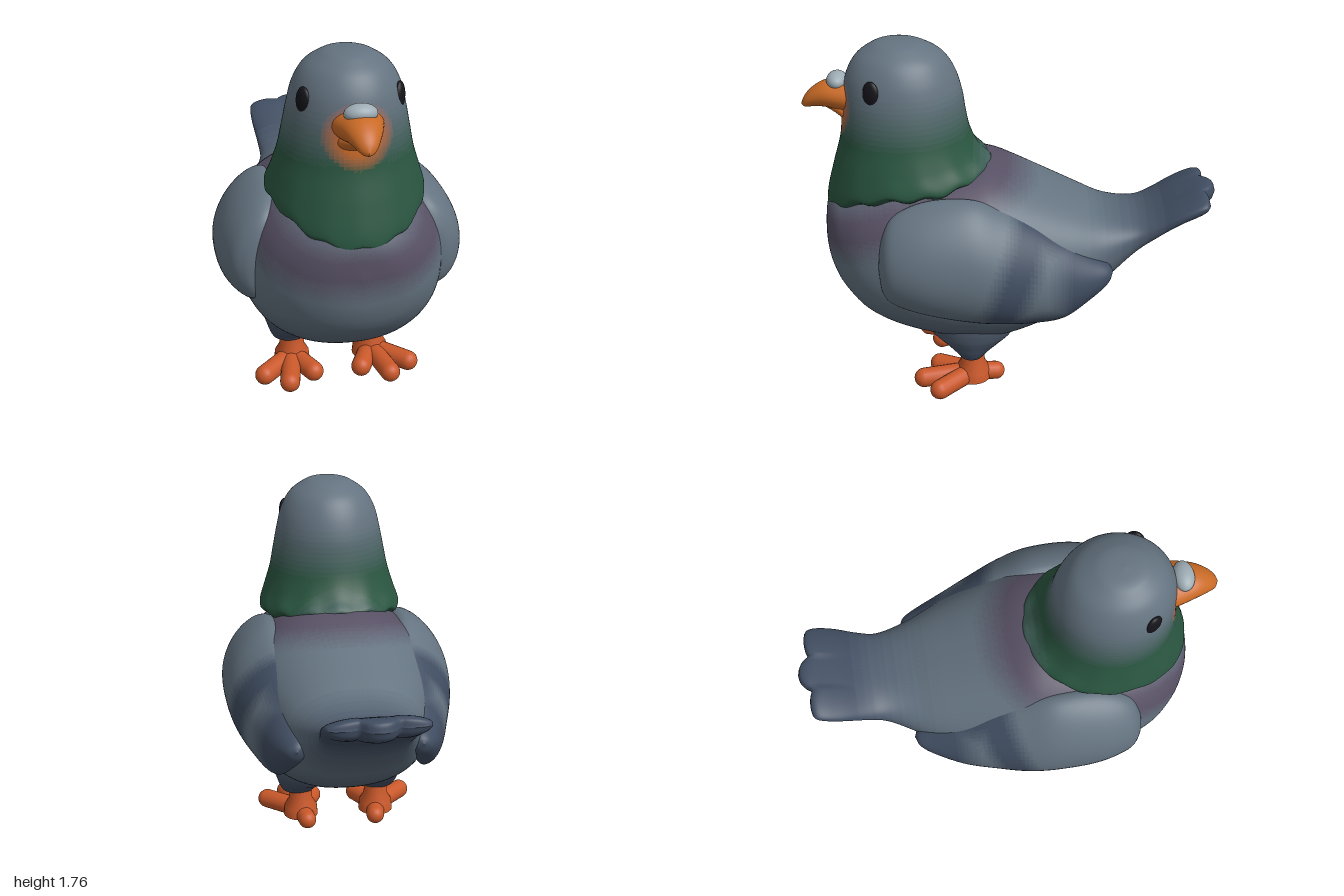
import * as THREE from 'three';

const SLATE = 0x647380, DARK = 0x404d61, GREEN = 0x2a5641, PURPLE = 0x575064;
const ORANGE = 0xc96a26, FOOT = 0xc9582a, CERE = 0x9dabb3, EYE = 0x15141a;
const clamp01 = (v) => Math.min(1, Math.max(0, v));
const material = (color) => new THREE.MeshStandardMaterial({ color });

// Blend of two colours in a few even steps
function mix(a, b, t) {
  const step = Math.round(clamp01(t) * 10) / 10;
  return new THREE.Color(a).lerp(new THREE.Color(b), step).getHex();
}

// Smooth skin through rows of section parameters; place(row, angle) gives a point
function loft(rows, steps, segs, place) {
  const size = rows[0].length, last = rows.length - 1;
  const spline = new THREE.CubicInterpolant(rows.map((r, i) => i), rows.flat(), size, new Float32Array(size));
  const pos = [], index = [];
  for (let i = 0; i <= steps; i++) {
    const row = Array.from(spline.evaluate((i / steps) * last));
    for (let j = 0; j < segs; j++) pos.push(...place(row, (j / segs) * Math.PI * 2));
  }
  for (let i = 0; i < steps; i++) {
    for (let j = 0; j < segs; j++) {
      const a = i * segs + j, b = i * segs + ((j + 1) % segs);
      index.push(a, b, a + segs, b, b + segs, a + segs);
    }
  }
  // Turn the faces outward if the enclosed volume comes out negative
  const p = (k) => new THREE.Vector3(pos[k * 3], pos[k * 3 + 1], pos[k * 3 + 2]);
  const origin = p(Math.floor(steps / 2) * segs);
  let volume = 0;
  for (let k = 0; k < index.length; k += 3) {
    const [a, b, c] = [0, 1, 2].map((n) => p(index[k + n]).sub(origin));
    volume += a.dot(b.cross(c));
  }
  if (volume < 0) index.reverse();
  const geo = new THREE.BufferGeometry();
  geo.setAttribute('position', new THREE.Float32BufferAttribute(pos, 3));
  geo.setIndex(index);
  geo.computeVertexNormals();
  return geo;
}

// Splits a skin into plumage patches, one mesh per colour, sharing smooth normals
function paint(name, geo, colorAt) {
  const group = new THREE.Group(), patches = new Map();
  group.name = name;
  const p = geo.attributes.position, idx = geo.index.array;
  for (let k = 0; k < idx.length; k += 3) {
    const tri = [idx[k], idx[k + 1], idx[k + 2]];
    const mean = (get) => tri.reduce((s, v) => s + p[get](v), 0) / 3;
    const color = colorAt(mean('getX'), mean('getY'), mean('getZ'));
    if (!patches.has(color)) patches.set(color, []);
    patches.get(color).push(...tri);
  }
  for (const [color, tris] of patches) {
    const part = new THREE.BufferGeometry();
    part.setAttribute('position', p);
    part.setAttribute('normal', geo.attributes.normal);
    part.setIndex(tris);
    const mesh = new THREE.Mesh(part, material(color));
    mesh.name = name + 'Plumage';
    group.add(mesh);
  }
  return group;
}

function solid(name, geo, color) {
  const mesh = new THREE.Mesh(geo, material(color));
  mesh.name = name;
  return mesh;
}

// Rounded rod between two points
function rod(name, a, b, r, color) {
  const from = new THREE.Vector3(...a), to = new THREE.Vector3(...b);
  const dir = to.clone().sub(from);
  const mesh = solid(name, new THREE.CapsuleGeometry(r, dir.length(), 8, 18), color);
  mesh.position.copy(from).add(to).multiplyScalar(0.5);
  mesh.quaternion.setFromUnitVectors(new THREE.Vector3(0, 1, 0), dir.normalize());
  return mesh;
}

function ellipsoid(name, center, radii, color) {
  const mesh = solid(name, new THREE.SphereGeometry(1, 24, 16).scale(...radii), color);
  mesh.position.set(...center);
  return mesh;
}

// Section across z: [z, top, bottom, half width, roundness (1 ellipse, less is boxier)]
const bulge = (v, e) => Math.sign(v) * Math.abs(v) ** e;
const acrossZ = ([z, top, bottom, w, e = 1], a) =>
  [w * bulge(Math.cos(a), e), (top + bottom) / 2 + ((top - bottom) / 2) * bulge(Math.sin(a), e), z];

// Body section whose tail end spreads into three rounded feather tips
function bodySection(row, a) {
  const [x, y, z] = acrossZ(row, a);
  const mid = (row[1] + row[2]) / 2, k = clamp01((-0.72 - z) / 0.2);
  const arch = (d) => Math.sqrt(Math.max(0, 1 - d * d));
  const centre = arch(x / 0.088), outer = arch((Math.abs(x) - 0.158) / 0.09);
  const groove = 1 - 0.3 * k * (1 - Math.max(centre, outer));
  return [x, mid + (y - mid) * groove, z - k * k * Math.max(0.085 * centre, 0.04 * outer)];
}

function bodyColor(x, y, z) {
  const band = 1 - Math.abs(y - 0.86 - 0.35 * (0.9 - z)) / 0.17;
  if (z > -0.15 && band > 0.05) return mix(SLATE, PURPLE, band * 1.3);
  return mix(SLATE, DARK, Math.max((-0.35 - z) / 0.4, (0.6 - y) / 0.4));
}

export function createModel() {
  const model = new THREE.Group();
  model.name = 'pigeon';

  // Body, from breast to tail
  const body = loft([
    [0.915, 0.82, 0.82, 0, 1], [0.9, 0.96, 0.67, 0.14, 1], [0.86, 1.03, 0.56, 0.24, 0.97],
    [0.8, 1.06, 0.48, 0.32, 0.93], [0.7, 1.1, 0.39, 0.4, 0.9], [0.55, 1.14, 0.32, 0.455, 0.88],
    [0.35, 1.16, 0.265, 0.475, 0.87], [0.2, 1.17, 0.25, 0.475, 0.87], [0.1, 1.16, 0.25, 0.47, 0.87],
    [0, 1.12, 0.27, 0.455, 0.87], [-0.15, 1.05, 0.33, 0.415, 0.87], [-0.3, 0.98, 0.42, 0.36, 0.86],
    [-0.45, 0.915, 0.55, 0.29, 0.85], [-0.6, 0.9, 0.7, 0.23, 0.84], [-0.7, 0.93, 0.785, 0.228, 0.83],
    [-0.8, 0.985, 0.863, 0.239, 0.82], [-0.87, 1.022, 0.905, 0.24, 0.82], [-0.905, 1.022, 0.938, 0.232, 0.82],
    [-0.915, 0.982, 0.982, 0.215, 0.82],
  ], 108, 108, bodySection);
  model.add(paint('body', body, bodyColor));

  // Head and neck with a scalloped collar: [y, front z, back z, half width, collar amount]
  const neck = loft([
    [1.06, 0.8, 0.17, 0.3, 1], [1.09, 0.86, 0.115, 0.35, 1], [1.12, 0.872, 0.105, 0.36, 0.9],
    [1.2, 0.85, 0.16, 0.335, 0.45], [1.3, 0.82, 0.2, 0.305, 0.12], [1.4, 0.81, 0.22, 0.285, 0],
    [1.5, 0.8, 0.235, 0.265, 0], [1.6, 0.78, 0.265, 0.24, 0], [1.68, 0.735, 0.315, 0.195, 0],
    [1.73, 0.67, 0.39, 0.13, 0], [1.75, 0.62, 0.45, 0.08, 0], [1.757, 0.54, 0.54, 0, 0],
  ], 88, 84, ([y, front, back, w, collar], a) => {
    const f = Math.sin(a), drop = f > 0 ? 0.14 * f * f : -0.05 * f * f;
    const scallop = 0.01 * Math.cos(14 * a);
    return [w * Math.cos(a), y - collar * (drop + scallop),
      (front + back) / 2 + ((front - back) / 2) * f + 0.03 * collar * Math.max(0, f)];
  });
  model.add(paint('headAndNeck', neck, (x, y, z) => {
    const face = z > 0.65 ? 1.1 - Math.hypot(x / 0.15, (y - 1.44) / 0.14) : 0;
    const plumage = mix(GREEN, SLATE, Math.max((y - 1.3) / 0.25, (0.2 - z) / 0.3));
    return face > 0.05 ? mix(plumage, ORANGE, face * 1.8) : plumage;
  }));

  // Beak with the pale swelling at its root
  model.add(solid('upperBeak', loft([
    [0.74, 1.56, 1.41, 0.12], [0.8, 1.56, 1.415, 0.108], [0.88, 1.555, 1.43, 0.085],
    [0.94, 1.525, 1.43, 0.06], [0.98, 1.485, 1.425, 0.035], [1, 1.445, 1.435, 0],
  ], 25, 32, acrossZ), ORANGE));
  model.add(solid('lowerBeak', loft([
    [0.74, 1.48, 1.34, 0.1], [0.79, 1.47, 1.365, 0.092], [0.83, 1.46, 1.4, 0.07], [0.9, 1.44, 1.43, 0],
  ], 18, 28, acrossZ), ORANGE));
  model.add(ellipsoid('cere', [0, 1.557, 0.825], [0.074, 0.043, 0.05], CERE));

  for (const s of [1, -1]) {
    const side = s > 0 ? 'left' : 'right';
    const eye = ellipsoid(side + 'Eye', [s * 0.21, 1.558, 0.645], [0.024, 0.068, 0.045], EYE);
    eye.rotation.y = -s * 0.5;
    model.add(eye);

    // Folded wing, fullest low down and leaning in to the back: [z, top, bottom, centre x, half thickness, lean]
    const wing = loft([
      [0.63, 0.78, 0.78, 0.42, 0, 0], [0.61, 0.92, 0.64, 0.425, 0.06, 0.03], [0.55, 1.02, 0.58, 0.432, 0.11, 0.06],
      [0.4, 1.08, 0.53, 0.443, 0.138, 0.09], [0.2, 1.09, 0.49, 0.443, 0.138, 0.09],
      [0.05, 1.03, 0.47, 0.425, 0.133, 0.085], [-0.1, 0.95, 0.46, 0.4, 0.11, 0.07],
      [-0.25, 0.85, 0.475, 0.372, 0.085, 0.05], [-0.38, 0.77, 0.56, 0.335, 0.065, 0.03],
      [-0.46, 0.725, 0.63, 0.305, 0.045, 0.01], [-0.485, 0.69, 0.69, 0.3, 0, 0],
    ], 80, 56, ([z, top, bottom, cx, t, lean], a) => {
      const h = Math.sin(a), tilt = lean * 0.6 * (h + 0.35) ** 2;
      return [s * (cx + t * Math.cos(a) - tilt), (top + bottom) / 2 + ((top - bottom) / 2) * h, z];
    });
    model.add(paint(side + 'Wing', wing, (x, y, z) => {
      const bar = 1.5 - Math.abs(z - 0.01 + 0.35 * (y - 0.65)) / 0.09;
      const tip = (-0.17 - z) / 0.12, edge = (0.58 - y) / 0.08 * clamp01((0.4 - z) / 0.3);
      const rim = (y - 0.9 - 0.55 * z) / 0.08 * clamp01(-z / 0.1);
      return mix(SLATE, DARK, Math.max(bar, tip, edge, rim));
    }));

    // Thigh flaring into the belly: [y, outer x, inner x, front z, back z]
    const thigh = loft([
      [0.165, 0.205, 0.205, 0.205, 0.205], [0.17, 0.28, 0.14, 0.26, 0.15], [0.19, 0.302, 0.118, 0.275, 0.13],
      [0.22, 0.315, 0.07, 0.31, 0.095], [0.25, 0.325, 0.005, 0.35, 0.05], [0.31, 0.345, 0, 0.41, -0.01],
      [0.4, 0.36, 0.03, 0.43, -0.03],
    ], 30, 40, ([y, outer, inner, front, back], a) => [
      s * ((outer + inner) / 2 + ((outer - inner) / 2) * Math.cos(a)), y,
      (front + back) / 2 + ((front - back) / 2) * Math.sin(a)]);
    model.add(paint(side + 'Thigh', thigh, bodyColor));

    // Shank and toes
    const shank = solid(side + 'Shank', new THREE.LatheGeometry(
      [[0.09, 0.03], [0.085, 0.08], [0.062, 0.12], [0.057, 0.19]]
        .map(([r, y]) => new THREE.Vector2(r, y)), 24), FOOT);
    shank.position.set(s * 0.2, 0, 0.2);
    model.add(shank);
    const toes = { Middle: [0.25, 0.048, 0.445], Outer: [0.36, 0.05, 0.36], Inner: [0.12, 0.05, 0.37], Back: [0.18, 0.046, 0.085] };
    for (const [toe, [x, y, z]] of Object.entries(toes)) {
      model.add(rod(side + toe + 'Toe', [s * 0.2, 0.056, 0.2], [s * x, y, z], toe === 'Back' ? 0.046 : 0.049, FOOT));
    }
  }
  return model;
}
